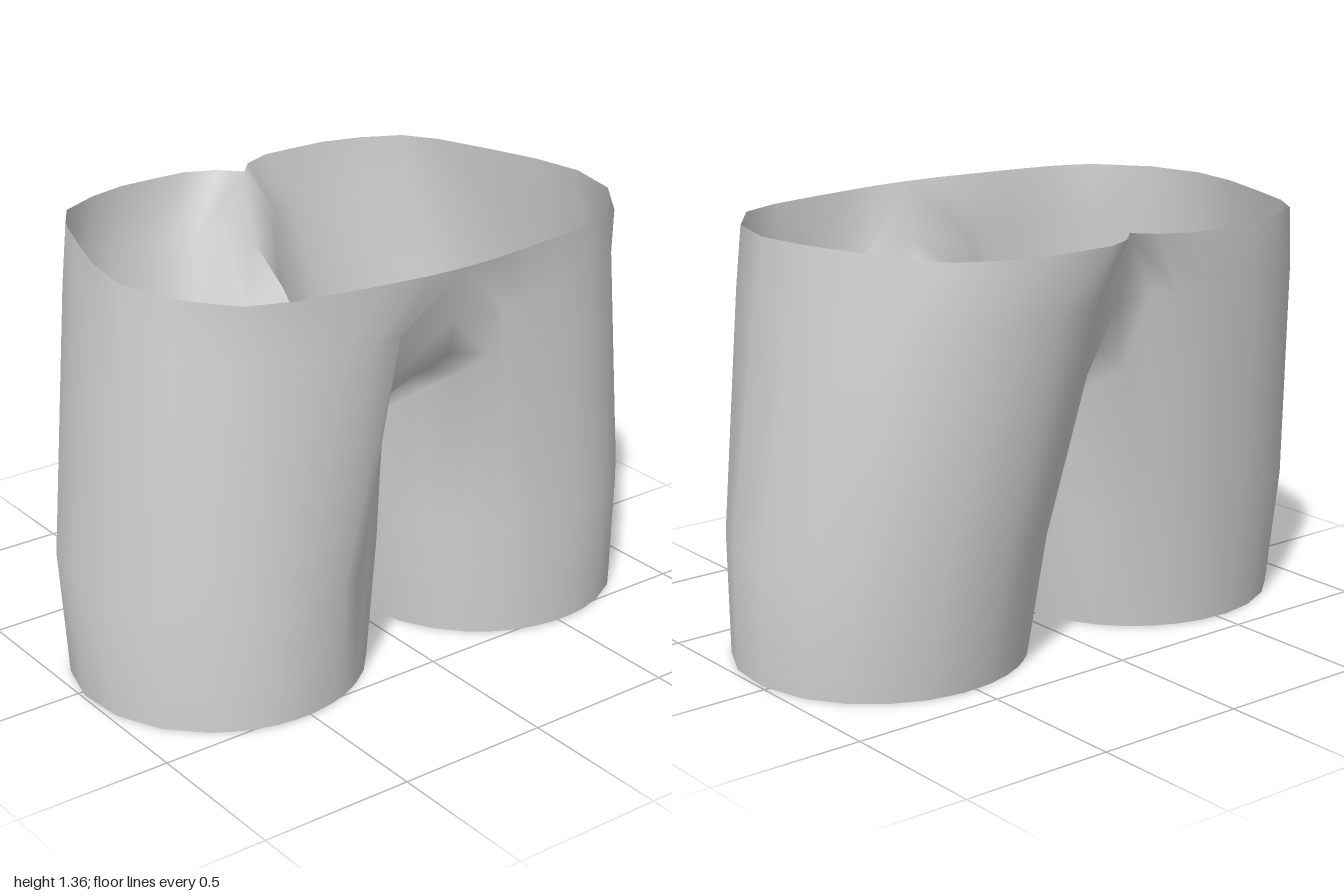
import * as THREE from 'three';
import { mergeVertices } from 'three/addons/utils/BufferGeometryUtils.js';

const WAIST = 1.357;
const { lerp, smoothstep, degToRad } = THREE.MathUtils;

// Upper border of one half, as [leg angle, x, y, z]; angle 0 is front, 90 outer side.
// x = 0 points form the centre seam (front panel, crotch, back cleft), the rest the waistband.
const BORDER = [
  [-90, 0, 0.6, 0.0], [-70, 0, 0.78, 0.14], [-55, 0, 0.89, 0.28], [-42, 0, 0.97, 0.42],
  [-32, 0, 1.06, 0.54], [-24, 0, 1.18, 0.575], [-15, 0, WAIST, 0.615],
  [-5, 0.13, WAIST, 0.61], [4, 0.28, WAIST, 0.59], [12, 0.42, WAIST, 0.57],
  [22, 0.56, WAIST, 0.545], [36, 0.7, WAIST, 0.49], [55, 0.83, WAIST, 0.32],
  [75, 0.875, WAIST, 0.13], [95, 0.85, WAIST, -0.05], [115, 0.79, WAIST, -0.24],
  [132, 0.73, WAIST, -0.41], [147, 0.66, WAIST, -0.52], [163, 0.53, WAIST, -0.585],
  [177, 0.4, WAIST, -0.62], [190, 0.27, WAIST, -0.622], [201, 0.16, WAIST, -0.62],
  [210, 0.06, WAIST, -0.575], [217, 0, WAIST, -0.51], [224, 0, 1.13, -0.46],
  [234, 0, 1.02, -0.3], [248, 0, 0.9, -0.19], [258, 0, 0.76, -0.1], [270, 0, 0.6, 0.0],
];

const ring = (deg, y, cx, rx, cz, rz) => {
  const a = degToRad(deg);
  return [cx + rx * Math.sin(a), y, cz + rz * Math.cos(a)];
};

// How far the hip point has moved from thigh to border, as [x, y, z] fractions
function hipPull(x, y, z) {
  if (y === WAIST) {
    return [lerp(0.5, 0.8, smoothstep(x, 0.1, 0.7)), 0.8, lerp(0.88, 0.25, smoothstep(z, -0.4, 0.5))];
  }
  // In front the leg stays round up to the crotch shelf; behind it runs straight in
  return z >= 0 ? [0.18, 0.91, 0.4] : [0.55, 0.7, 0.6];
}

// One column of the cloth: hem, thigh, hip, border
function column([deg, x, y, z]) {
  const hem = ring(deg, 0, 0.522, 0.47, 0.065, 0.465);
  const thigh = ring(deg, 0.4, 0.506, 0.494, 0.042, 0.51);
  const border = [x, y, z];
  const hip = hipPull(x, y, z).map((pull, k) => lerp(thigh[k], border[k], pull));
  return [hem, thigh, hip, border];
}

function shortsGeometry() {
  const columns = BORDER.map(column);
  const rows = columns[0].length;
  const positions = [];
  const index = [];
  // Left half, then its mirror image with reversed corners
  for (const side of [1, -1]) {
    const base = positions.length / 3;
    for (const col of columns) for (const [x, y, z] of col) positions.push(side * x, y, z);
    for (let i = 0; i < columns.length - 1; i++) {
      for (let j = 0; j < rows - 1; j++) {
        const a = base + i * rows + j;
        const b = a + rows;
        const c = b + 1;
        const d = a + 1;
        if (side > 0) index.push(a, b, c, a, c, d);
        else index.push(a, c, b, a, d, c);
      }
    }
  }
  const geometry = new THREE.BufferGeometry();
  geometry.setAttribute('position', new THREE.Float32BufferAttribute(positions, 3));
  geometry.setIndex(index);
  // Join the halves along the seam so the shading is smooth
  const joined = mergeVertices(geometry, 1e-4);
  joined.computeVertexNormals();
  return joined;
}

export function createModel() {
  const group = new THREE.Group();
  group.name = 'shorts';
  const cloth = new THREE.MeshStandardMaterial({ color: 0xd2d2d2, side: THREE.DoubleSide });
  cloth.name = 'grey cloth';
  const mesh = new THREE.Mesh(shortsGeometry(), cloth);
  mesh.name = 'shortsCloth';
  group.add(mesh);
  return group;
}
